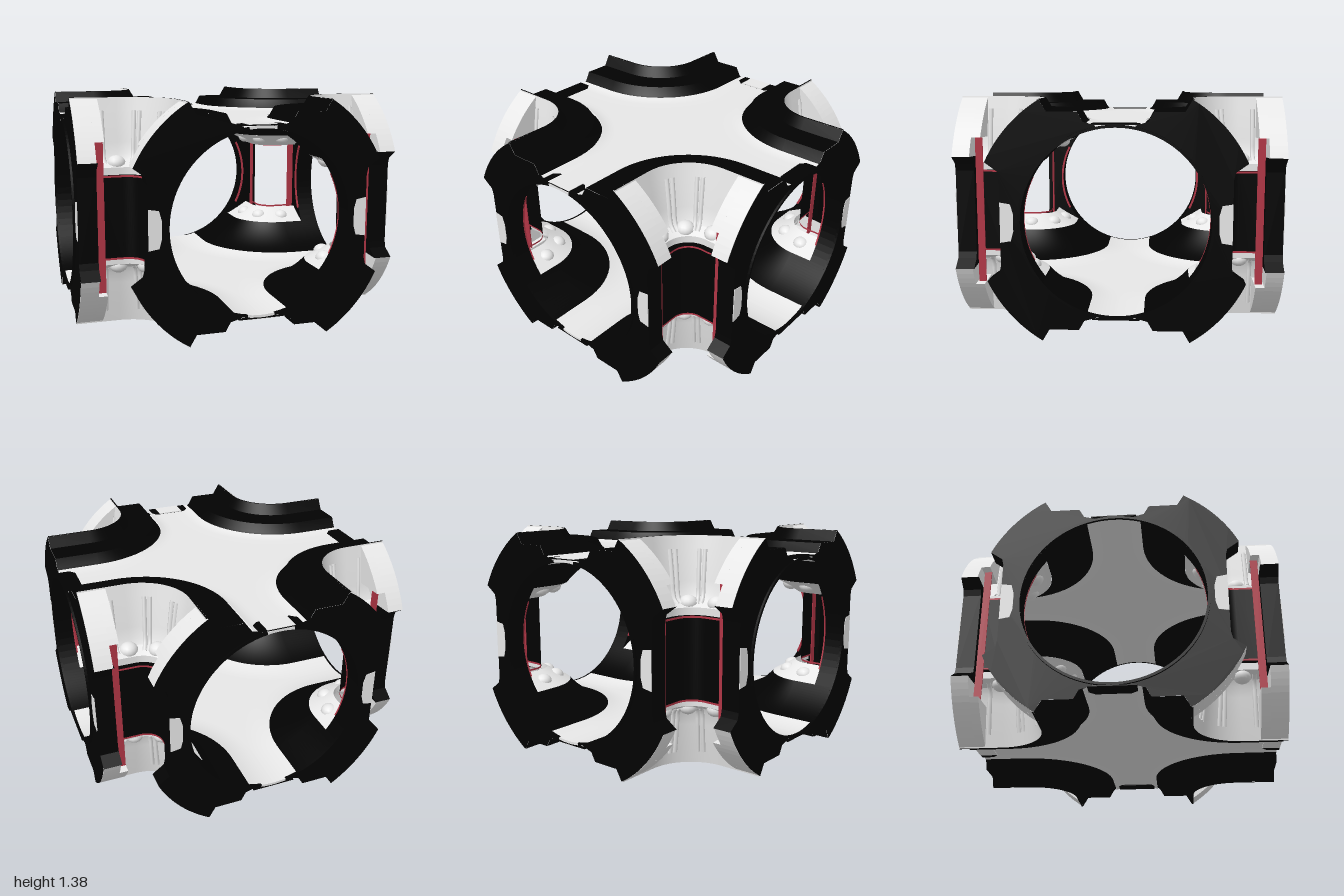
import * as THREE from 'three';
import { toCreasedNormals } from 'three/addons/utils/BufferGeometryUtils.js';

const MID = 0.6875; // height of the corridor axis
const C = 0.72; // centre of each corner bend
const R = 0.535; // corridor radius

function material(name, color, side) {
  const m = new THREE.MeshStandardMaterial({ color, side });
  m.name = name;
  return m;
}

// Sweep a profile of [offset from corridor axis, height] round one corner.
// A profile that runs upward faces out of the corridor.
function sweep(profile, end = 0.985, steps = 16) {
  const pos = [], index = [];
  const cols = steps + 3, rows = profile.length;
  for (const [o, y] of profile) {
    const r = C - o;
    pos.push(o, y, end);
    for (let j = 0; j <= steps; j++) {
      const a = (j / steps) * Math.PI / 2;
      pos.push(C - r * Math.cos(a), y, C - r * Math.sin(a));
    }
    pos.push(end, y, o);
  }
  for (let i = 0; i < rows - 1; i++) {
    for (let j = 0; j < cols - 1; j++) {
      const a = i * cols + j, b = a + cols;
      index.push(a, a + 1, b, b, a + 1, b + 1);
    }
  }
  const g = new THREE.BufferGeometry();
  g.setAttribute('position', new THREE.Float32BufferAttribute(pos, 3));
  g.setIndex(index);
  return toCreasedNormals(g, 0.6);
}

// Points on a circle about the corridor axis, angles in degrees.
function arc(r, from, to, n = 16) {
  return Array.from({ length: n + 1 }, (_, i) => {
    const a = THREE.MathUtils.degToRad(from + ((to - from) * i) / n);
    return [r * Math.cos(a), r * Math.sin(a)];
  });
}

const flip = (pts, sx, sy) => pts.map(([x, y]) => [x * sx, y * sy]);
const shape = (pts) => new THREE.Shape(pts.map(([x, y]) => new THREE.Vector2(x, y)));
function slab(pts, z0, z1) {
  const g = new THREE.ExtrudeGeometry(shape(pts), { depth: z1 - z0, bevelEnabled: false });
  return g.translate(0, 0, z0);
}

export function createModel() {
  // Black is one-sided, so the corner panels can be seen through from inside
  const black = material('black', 0x020202, THREE.FrontSide);
  const light = material('light grey', 0xe9e9e9, THREE.DoubleSide);
  const red = material('red', 0xb03545, THREE.DoubleSide);

  const root = new THREE.Group();
  root.name = 'corridorJunction';
  const body = new THREE.Group();
  body.name = 'junctionBody';
  body.position.y = MID;
  root.add(body);

  function add(parent, name, geometry, mat) {
    const m = new THREE.Mesh(geometry, mat);
    m.name = name;
    parent.add(m);
    return m;
  }

  // Profiles for the upper half; the lower half mirrors them.
  const innerFloor = arc(R, 90, 72.6, 6);
  const outerPlate = [[0, 0.5475], [0.08, 0.5475], [0.11, 0.549], [0.14, 0.555], [0.16, 0.562]];
  const band = [[0.43, 0.6875], [0.42, 0.6875], [0.38, 0.62], [0.21, 0.62], [0.18, 0.566], [0.16, 0.55]];
  const recess = [[0.43, 0.6875], [0.445, 0.61], [0.462, 0.52], [0.477, 0.43],
    [0.488, 0.36], [0.505, 0.325], [0.545, 0.305], [0.572, 0.29], [0.572, 0.245]];
  const ribLine = recess.slice(1, 7);
  const sill = [[0.417, 0.336], [0.5, 0.29], [0.572, 0.245]];
  const redLine = [[0.612, 0.25], [0.612, 0.238]];
  const panelGeo = sweep([[0.57, -0.247], [0.61, -0.247], [0.61, 0.247], [0.57, 0.247]], 0.87);

  // Four corners: wall, roof and floor bands, recess with ribs, outer panel
  for (let q = 0; q < 4; q++) {
    const corner = new THREE.Group();
    corner.name = 'corner' + (q + 1);
    corner.rotation.y = (q * Math.PI) / 2;
    body.add(corner);
    add(corner, 'outerPanel', panelGeo, black);
    for (const s of [1, -1]) {
      const half = s > 0 ? 'upper' : 'lower';
      const wall = s > 0 ? arc(R, 72.6, 39) : arc(R, -39, -72.6);
      const bandHalf = flip(band, 1, s);
      add(corner, half + 'InnerWall', sweep(wall, 1), black);
      add(corner, half + 'InnerPlate', sweep(flip(innerFloor, 1, s)), light);
      add(corner, half + 'OuterPlate', sweep(flip(outerPlate, 1, s)), light);
      add(corner, half + 'Band', sweep(s > 0 ? bandHalf : bandHalf.reverse()), black);
      add(corner, half + 'Recess', sweep(flip(recess, 1, s)), light);
      add(corner, half + 'WindowSill', sweep(flip(sill, 1, s), 0.87), light);
      add(corner, half + 'RedLine', sweep(flip(redLine, 1, s), 0.87), red);

      // Ribs run down the recess between its pockets
      for (const deg of [23, 30, 60, 67]) {
        const a = THREE.MathUtils.degToRad(deg);
        const pts = ribLine.map(([o, y]) => new THREE.Vector3(
          C - (C - o) * Math.cos(a), y * s, C - (C - o) * Math.sin(a)));
        add(corner, 'rib', new THREE.TubeGeometry(new THREE.CatmullRomCurve3(pts), 12, 0.014, 6), light);
      }
      for (const t of [0, 1]) {
        const pts = ribLine.map(([o, y]) => (t
          ? new THREE.Vector3(0.805, y * s, o) : new THREE.Vector3(o, y * s, 0.805)));
        add(corner, 'edgeRib', new THREE.TubeGeometry(new THREE.CatmullRomCurve3(pts), 12, 0.014, 6), light);
      }
      // Rounded cup at the foot of each pocket
      for (const deg of [-4, 45, 94]) {
        const a = THREE.MathUtils.degToRad(deg);
        const cup = add(corner, 'pocketCup', new THREE.SphereGeometry(0.055, 14, 10), light);
        cup.position.set(C - 0.205 * Math.cos(a), 0.308 * s, C - 0.205 * Math.sin(a));
        cup.scale.y = 0.85;
      }
    }
  }

  // Flat star that closes the middle of floor and roof
  const star = new THREE.Shape();
  star.moveTo(C, 0);
  star.absarc(C, C, C, -Math.PI / 2, -Math.PI, true);
  star.absarc(-C, C, C, 0, -Math.PI / 2, true);
  star.absarc(-C, -C, C, Math.PI / 2, 0, true);
  star.absarc(C, -C, C, Math.PI, Math.PI / 2, true);
  const starGeo = new THREE.ShapeGeometry(star, 8).rotateX(-Math.PI / 2);
  for (const y of [R, 0.5475, -R, -0.5475]) add(body, 'centrePlate', starGeo, light).position.y = y;

  // Four corridor ends
  const rim = arc(0.805, 25, 58.6, 12);
  const face = [...rim, [0.38, 0.62], [0.21, 0.62], [0.18, 0.566], [0.13, 0.552], [0.11, 0.545],
    ...arc(R, 78, 0, 24), [0.65, 0], [0.65, 0.25], [0.66, 0.29]];
  const wing = [...rim, [0.435, 0.6], [0.46, 0.42], [0.56, 0.33]];
  const wingFoot = [rim[0], [0.56, 0.328], [0.57, 0.22], [0.65, 0.25], [0.66, 0.29]];
  const wingBack = [...arc(0.805, 34, 58.6, 10), [0.435, 0.6], [0.46, 0.44]];
  const sideBlock = [...arc(R, -39, 39), [0.65, 0.28], [0.65, -0.28]];
  const windowEdge = [...arc(R - 0.002, -27, 27), ...arc(R + 0.012, 27, -27)];
  const tab = [[0.65, 0.115], [0.59, 0.105], [0.575, 0.05], [0.575, -0.05], [0.59, -0.105], [0.65, -0.115]];
  const lipRing = [...arc(R, 81.4, -81.4, 40), ...arc(0.55, -81.4, 81.4, 40)];
  const lipTop = [...arc(R, 81.4, 98.6, 6), ...arc(0.55, 98.6, 81.4, 6)];
  const pad = [[-0.135, 1], [-0.135, 0.92], [-0.1, 0.89], [0.1, 0.89], [0.135, 0.92], [0.135, 1]];
  for (let e = 0; e < 4; e++) {
    const end = new THREE.Group();
    end.name = 'corridorEnd' + (e + 1);
    end.rotation.y = (e * Math.PI) / 2;
    body.add(end);
    const padMat = e % 2 ? black : light; // front and back pads have a light middle
    for (const sx of [1, -1]) {
      add(end, 'lip', slab(flip(lipRing, sx, 1), 0.985, 1), black);
      add(end, 'sideTab', slab(flip(tab, sx, 1), 0.985, 0.99), light);
      add(end, 'sideBlock', slab(flip(sideBlock, sx, 1), 0.872, 0.985), black);
      add(end, 'windowEdge', slab(flip(windowEdge, sx, 1), 0.864, 0.874), red);
      // Set just behind the face of the side block
      add(end, 'redStrip', new THREE.BoxGeometry(0.008, 0.89, 0.045), red)
        .position.set(sx * 0.611, 0, 0.848);
      for (const sy of [1, -1]) {
        add(end, 'endFace', new THREE.ShapeGeometry(shape(flip(face, sx, sy)))
          .translate(0, 0, 0.987), black);
        add(end, 'wing', slab(flip(wing, sx, sy), 0.88, 0.985), light);
        add(end, 'wingFoot', slab(flip(wingFoot, sx, sy), 0.872, 0.985), black);
        add(end, 'wingBack', slab(flip(wingBack, sx, sy), 0.825, 0.88), light);
      }
    }
    for (const sy of [1, -1]) {
      add(end, 'lipMiddle', slab(flip(lipTop, 1, sy), 0.985, 1), padMat);
      add(end, 'endPad', slab(pad, 0, 0.006).rotateX(Math.PI / 2), black)
        .position.y = sy > 0 ? 0.556 : -0.55;
      if (e % 2 === 0) {
        add(end, 'padMiddle', new THREE.BoxGeometry(0.17, 0.006, 0.115), light)
          .position.set(0, sy * 0.556, 0.942);
      }
    }
  }
  return root;
}
